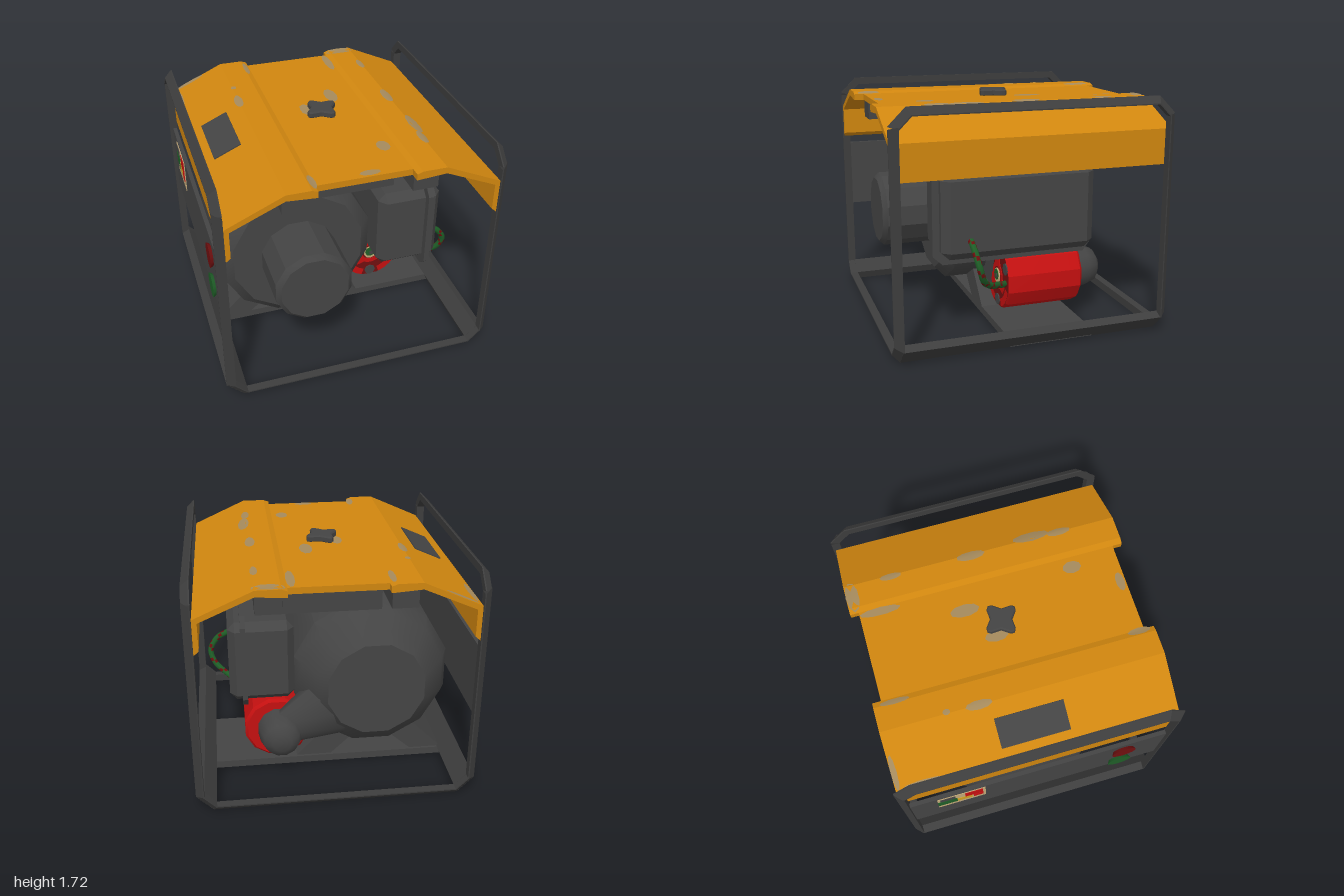
import * as THREE from 'three';
import { toCreasedNormals } from 'three/addons/utils/BufferGeometryUtils.js';
import { ConvexGeometry } from 'three/addons/geometries/ConvexGeometry.js';

const paint = (name, color, side = THREE.FrontSide) => {
  const m = new THREE.MeshStandardMaterial({ color, side });
  m.name = name;
  return m;
};

export function createModel() {
  const model = new THREE.Group();
  model.name = 'portableGenerator';
  const grey = paint('body grey', 0x444444);
  const frameGrey = paint('frame grey', 0x3d3d3d, THREE.DoubleSide);
  const orange = paint('orange paint', 0xd0860f);
  const worn = paint('worn paint', 0xa58a5c, THREE.DoubleSide);
  const red = paint('red', 0xc41010);
  const darkRed = paint('dark red', 0x701010);
  const green = paint('green', 0x1f5f28);
  const cream = paint('cream', 0xc2a878);
  const yellow = paint('yellow', 0xd0a020);

  const add = (name, geometry, material, parent = model) => {
    const mesh = new THREE.Mesh(geometry, material);
    mesh.name = name;
    parent.add(mesh);
    return mesh;
  };
  // Box from min and max corners
  const box = (name, [x0, y0, z0], [x1, y1, z1], material) => {
    const mesh = add(name, new THREE.BoxGeometry(x1 - x0, y1 - y0, z1 - z0), material);
    mesh.position.set((x0 + x1) / 2, (y0 + y1) / 2, (z0 + z1) / 2);
    return mesh;
  };
  // Front outline pulled along z
  const prism = (points, z0, z1) => {
    const shape = new THREE.Shape(points.map(([x, y]) => new THREE.Vector2(x, y)));
    return new THREE.ExtrudeGeometry(shape, { depth: z1 - z0, bevelEnabled: false }).translate(0, 0, z0);
  };
  // Faceted turned part on the z axis, profile as [radius, z]
  const turned = (name, x, y, sides, profile, material, crease = 0.45) => {
    let g = new THREE.LatheGeometry(profile.map(([r, z]) => new THREE.Vector2(r, z)), sides);
    g.rotateY(Math.PI / sides).rotateX(Math.PI / 2);
    const mesh = add(name, toCreasedNormals(g, crease), material);
    mesh.position.set(x, y, 0);
    return mesh;
  };
  const chamferBox = (min, max, c) => {
    const points = [];
    for (let i = 0; i < 8; i++) {
      const bits = [i & 1, (i >> 1) & 1, i >> 2];
      for (let keep = 0; keep < 3; keep++) {
        points.push(new THREE.Vector3(...bits.map((b, k) =>
          (b ? max[k] : min[k]) + (k === keep ? 0 : b ? -c[k] : c[k]))));
      }
    }
    return new ConvexGeometry(points);
  };

  // Tubular frame: a bar with its outer edge cut off, swept between outer and inner lines
  const section = [[1, 0], [0, 0], [0, 0.15], [0.85, 1], [1, 1]];
  const sweep = (outer, inner, place) => {
    const pos = [];
    const at = (i, k) => {
      const [u, v] = section[k % section.length];
      const a = outer[i].map((p, n) => p + (inner[i][n] - p) * u);
      return place(a[0], a[1], 0.94 + 0.06 * v);
    };
    for (let i = 0; i < outer.length - 1; i++) {
      for (let k = 0; k < section.length; k++) {
        const [a, b, c, d] = [at(i, k), at(i + 1, k), at(i + 1, k + 1), at(i, k + 1)];
        pos.push(...a, ...b, ...c, ...a, ...c, ...d);
      }
    }
    const g = new THREE.BufferGeometry();
    g.setAttribute('position', new THREE.Float32BufferAttribute(pos, 3));
    g.computeVertexNormals();
    return g;
  };
  const mirror = (half) => [...half, ...half.map(([a, b]) => [-a, b]).reverse()];
  for (const s of [-1, 1]) {
    add(s > 0 ? 'frontHoop' : 'backHoop', sweep(
      mirror([[-1, 1.6], [-1, 0.12], [-0.88, 0]]),
      mirror([[-0.94, 1.58], [-0.94, 0.145], [-0.855, 0.06]]),
      (a, b, w) => [a, b, s * w]), frameGrey);
    add(s > 0 ? 'leftTopRail' : 'rightTopRail', sweep(
      mirror([[-1, 1.6], [-0.88, 1.72]]),
      mirror([[-0.94, 1.58], [-0.855, 1.665]]),
      (a, b, w) => [s * w, b, a]), frameGrey);
    add(s > 0 ? 'leftBottomRail' : 'rightBottomRail', prism(
      [[1, 0.12], [0.88, 0], [0.855, 0.06], [0.94, 0.15]].map(([x, y]) => [s * x, y]), -0.95, 0.95), frameGrey);
  }
  box('basePlate', [-0.89, 0.005, -0.45], [0.89, 0.06, 0.17], grey);

  // Folded hood: two outer wings and a sunken centre
  for (const s of [-1, 1]) {
    const wing = [[0.94, 1.24], [0.94, 1.49], [0.54, 1.67], [0.37, 1.67], [0.33, 1.655],
      [0.33, 1.61], [0.54, 1.625], [0.905, 1.465], [0.905, 1.27]];
    add(s > 0 ? 'leftHoodWing' : 'rightHoodWing', prism(wing.map(([x, y]) => [s * x, y]), -0.985, 0.99), orange);
    box(s > 0 ? 'leftHoodBeam' : 'rightHoodBeam', [s > 0 ? 0.36 : -0.54, 1.455, -0.88], [s > 0 ? 0.54 : -0.36, 1.62, 0.88], grey);
  }
  box('hoodCentre', [-0.335, 1.61, -0.925], [0.335, 1.655, 0.92], orange);
  box('fuelTank', [-0.35, 1.33, -0.6], [0.34, 1.615, 0.6], grey);

  const hoodY = (x) => {
    const a = Math.abs(x);
    if (a < 0.33) return 1.655;
    if (a < 0.37) return 1.655 + (a - 0.33) * 0.375;
    return a < 0.54 ? 1.67 : 1.67 - (a - 0.54) * 0.45;
  };
  // Scuffed paint patches: x, z, width, depth
  [[-0.53, -0.53, 0.04, 0.05], [-0.54, -0.31, 0.06, 0.18], [0.14, -0.22, 0.09, 0.2], [-0.1, -0.06, 0.08, 0.16],
    [0.53, -0.07, 0.07, 0.2], [0.53, -0.65, 0.05, 0.15], [0.56, 0.38, 0.08, 0.26], [0.54, 0.58, 0.06, 0.17],
    [0.25, 0.59, 0.09, 0.13], [0.3, -0.78, 0.06, 0.28], [0.45, -0.94, 0.22, 0.09], [-0.8, -0.965, 0.22, 0.04],
    [-0.91, -0.79, 0.05, 0.3], [0.05, 0.88, 0.14, 0.06], [-0.34, 0.88, 0.05, 0.16], [-0.36, -0.84, 0.04, 0.2],
  ].forEach(([x, z, w, d], i) => {
    const g = new THREE.CircleGeometry(0.52, 9).rotateX(-Math.PI / 2).rotateY(i).scale(w, 1, d).translate(x, 0, z);
    const p = g.attributes.position;
    for (let k = 0; k < p.count; k++) p.setY(k, hoodY(p.getX(k)) + 0.004);
    g.computeVertexNormals();
    add('scuff', g, worn);
  });
  const badge = box('hoodPlate', [-0.104, -0.004, -0.24], [0.104, 0.004, 0.24], grey);
  badge.position.set(-0.745, hoodY(-0.745) + 0.012, 0);
  badge.rotation.z = Math.atan(0.45);

  // Four-armed filler cap
  const cap = new THREE.Shape();
  for (let i = 0; i < 16; i++) {
    const r = [0.13, 0.12, 0.075, 0.12][i % 4];
    const a = 0.5 + (Math.floor(i / 4) + [0, 0.12, 0.5, 0.88][i % 4]) * Math.PI / 2;
    cap[i ? 'lineTo' : 'moveTo'](r * Math.cos(a), r * Math.sin(a));
  }
  const capMesh = add('fillerCap', new THREE.ExtrudeGeometry(cap, {
    depth: 0.03, bevelSize: 0.008, bevelThickness: 0.01, bevelOffset: -0.008, bevelSegments: 1 }), grey);
  capMesh.rotation.x = -Math.PI / 2;
  capMesh.position.y = 1.66;

  // Engine drum with domed back, front hub and splayed legs
  turned('engineDrum', -0.31, 0.755, 12, [[0, -0.71], [0.36, -0.71], [0.43, -0.64], [0.53, -0.53],
    [0.585, -0.42], [0.585, 0.35], [0.5, 0.43], [0, 0.43]], grey, 0.6);
  turned('engineHub', -0.31, 0.755, 12, [[0.285, 0.42], [0.285, 0.82], [0.25, 0.855], [0, 0.855]], grey);
  add('rightLeg', prism([[-0.9, 0.04], [-0.66, 0.04], [-0.4, 0.27], [-0.6, 0.34]], -0.43, 0.17), grey);
  add('leftLeg', prism([[0.26, 0.04], [0.0, 0.04], [-0.24, 0.27], [-0.02, 0.34]], -0.43, 0.17), grey);
  add('starterBracket', prism([[0.02, 0.28], [0.24, 0.23], [0.3, 0.45], [0, 0.5]], -0.45, 0.1), grey);

  // Starter motor with rear bulb joined to the engine
  const sx = 0.39, sy = 0.355;
  turned('starterBody', sx, sy, 12, [[0, -0.49], [0.225, -0.49], [0.245, -0.47], [0.245, 0.07], [0.235, 0.09]], red);
  const face = turned('starterFace', sx, sy, 12, [[0.235, 0.09], [0, 0.09]], darkRed);
  const bulb = turned('starterBulb', sx - 0.02, sy, 12, [[0, -0.71], [0.07, -0.71], [0.13, -0.67], [0.155, -0.6], [0.17, -0.46], [0, -0.46]], grey, 1);
  const neck = add('rearNeck', new THREE.CylinderGeometry(0.13, 0.26, 0.42, 10), grey);
  neck.position.set(0.16, 0.47, -0.53);
  neck.scale.z = 0.65;
  neck.rotation.z = -2.05;
  const lobes = new THREE.Shape();
  for (let i = 0; i < 24; i++) {
    const a = i * Math.PI / 12, r = Math.cos(3 * (a + Math.PI / 6)) > 0.1 ? 0.155 : 0.105;
    lobes[i ? 'lineTo' : 'moveTo'](r * Math.cos(a), r * Math.sin(a));
  }
  const thin = { depth: 0.005, bevelEnabled: false };
  lobes.holes.push(new THREE.Path().absarc(0, 0, 0.07, 0, Math.PI * 2, true));
  add('faceLobes', new THREE.ExtrudeGeometry(lobes, thin), red, face).position.z = 0.09;
  // Bright rim pieces along the lower edge
  for (const start of [3.45, 5.05]) {
    add('faceRim', new THREE.RingGeometry(0.175, 0.232, 4, 1, start, 0.95), red, face).position.z = 0.094;
  }
  const disc = (name, r, x, y, z, material, sides = 8) => {
    const mesh = add(name, new THREE.CylinderGeometry(r, r, 0.008, sides).rotateX(Math.PI / 2), material, face);
    mesh.position.set(x, y, z);
  };
  [[-0.165, 0.1], [0.17, 0.1], [0, -0.185]].forEach(([x, y]) => disc('faceBolt', 0.045, x, y, 0.094, grey));
  disc('terminalRing', 0.058, 0, 0, 0.096, cream, 10);
  disc('terminalGreen', 0.043, -0.005, 0.008, 0.1, green);
  disc('terminalCentre', 0.02, 0.005, 0, 0.104, grey);

  // Air filter housing with seam flange
  add('filterHousing', chamferBox([0.255, 0.61, -0.53], [0.725, 1.225, 0.6], [0.05, 0.055, 0.06]), grey);
  add('filterFlange', prism([[-0.65, 0.63], [-0.58, 0.565], [0.48, 0.565], [0.53, 0.63], [0.53, 1.2], [0.48, 1.275],
    [-0.58, 1.275], [-0.65, 1.2]], 0.598, 0.635).rotateY(Math.PI / 2), grey);

  // Twisted two-colour cable
  const line = new THREE.CatmullRomCurve3([[0.72, 0.75, 0.4], [0.81, 0.7, 0.4], [0.87, 0.6, 0.385], [0.84, 0.5, 0.35],
    [0.74, 0.42, 0.28], [0.64, 0.375, 0.18], [0.56, 0.345, 0.09]].map((p) => new THREE.Vector3(...p)));
  const cable = new THREE.TubeGeometry(line, 26, 0.024, 6);
  cable.clearGroups();
  for (let i = 0; i < 26 * 6; i++) cable.addGroup(i * 6, 6, (Math.floor(i / 6) + i) % 4 === 0 ? 1 : 0);
  add('cable', cable, [green, darkRed]);

  // Control panel on the right side with buttons and label
  box('controlPanel', [-0.975, 0.66, -0.96], [-0.945, 1.18, 0.96], grey);
  [[1.05, darkRed, 'stopButton'], [0.79, green, 'startButton']].forEach(([y, material, name]) => {
    const g = new THREE.CylinderGeometry(0.09, 0.075, 0.025, 12).rotateZ(Math.PI / 2);
    g.scale(-1, 1, 1).scale(-1, 1, 1);
    add(name, g, material).position.set(-0.985, y, 0.635);
  });
  box('label', [-0.98, 0.91, -0.75], [-0.974, 1.16, -0.4], cream);
  [[-0.75, 0.98, -0.61, 1.08, green], [-0.55, 1.05, -0.42, 1.15, red], [-0.61, 0.98, -0.5, 1.05, yellow],
    [-0.73, 1.09, -0.62, 1.15, grey], [-0.49, 0.98, -0.42, 1.03, red],
  ].forEach(([z0, y0, z1, y1, m]) => box('labelPatch', [-0.984, y0, z0], [-0.979, y1, z1], m));

  return model;
}
